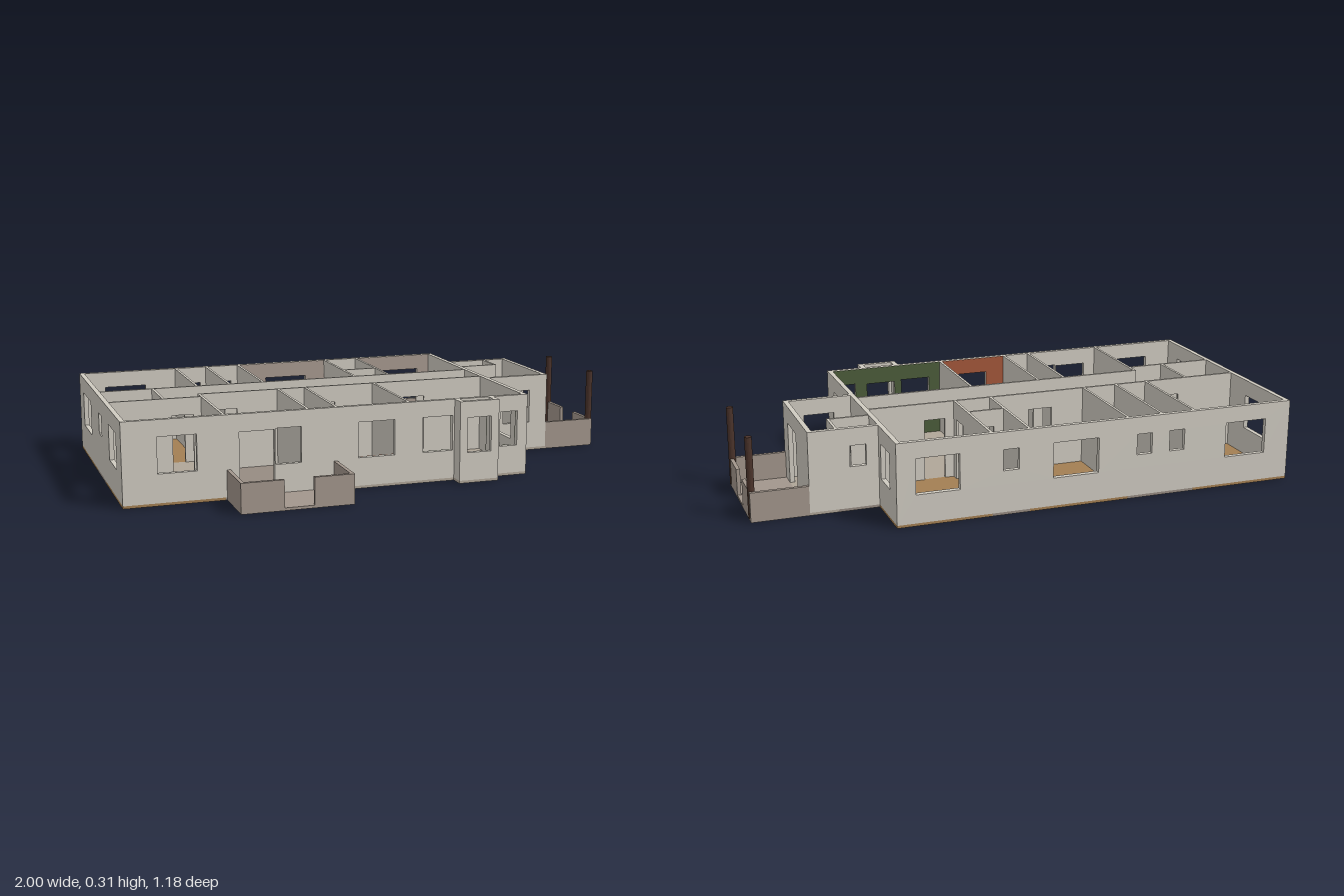
import * as THREE from 'three';

const H = 0.308, BASE = 0.01, DOOR = 0.243, SILL = 0.115, HEAD = 0.247;
const EXT = 0.018, INT = 0.01;

const paint = (color) => new THREE.MeshStandardMaterial({ color, flatShading: true });
const mats = {
  wall: paint(0xd0cbc1), wood: paint(0xa37f53), tile: paint(0x968b82), laminate: paint(0xb0a698),
  terrace: paint(0xa2968c), column: paint(0x4a332a), green: paint(0x4b5c3a), orange: paint(0xa3573a), taupe: paint(0xa89a90),
};

// Opening presets along a wall: [start, end, bottom, top]
const win = (a, b) => [a, b, SILL, HEAD];
const vent = (a, b) => [a, b, 0.165, DOOR];
const door = (a, b) => [a, b, BASE, DOOR];

export function createModel() {
  const model = new THREE.Group();
  const add = (name, geometry, mat) => {
    const mesh = new THREE.Mesh(geometry, mats[mat]);
    mesh.name = name;
    model.add(mesh);
    return mesh;
  };

  // Upright slab with door notches and window holes; axis is its running direction
  function wall(name, axis, pos, from, to, t, openings = [], mat = 'wall', top = H) {
    const s = new THREE.Shape();
    s.moveTo(from, BASE);
    const inside = openings.filter(([a, b]) => a > from && b < to).sort((p, q) => p[0] - q[0]);
    for (const [a, b, y0, y1] of inside) {
      if (y0 > BASE) {
        const hole = new THREE.Path();
        hole.moveTo(a, y0).lineTo(a, y1).lineTo(b, y1).lineTo(b, y0).closePath();
        s.holes.push(hole);
      } else {
        s.lineTo(a, y0).lineTo(a, y1).lineTo(b, y1).lineTo(b, y0);
      }
    }
    s.lineTo(to, BASE).lineTo(to, top).lineTo(from, top).closePath();
    const g = new THREE.ExtrudeGeometry(s, { depth: t, bevelEnabled: false });
    if (axis === 'x') g.translate(0, 0, pos - t / 2);
    else g.rotateY(-Math.PI / 2).translate(pos + t / 2, 0, 0);
    return add(name, g, mat);
  }

  const floor = (name, x0, x1, z0, z1, mat) => {
    const g = new THREE.BoxGeometry(x1 - x0, BASE, z1 - z0);
    add(name, g.translate((x0 + x1) / 2, BASE / 2, (z0 + z1) / 2), mat);
  };

  // Room floors, running under the walls
  const floors = [
    ['bedroomFloor', -1, -0.607, -0.595, -0.175, 'wood'],
    ['bathroomFloor', -0.607, -0.478, -0.595, -0.175, 'tile'],
    ['bathroomFloor', -0.478, -0.343, -0.595, -0.175, 'tile'],
    ['bedroomFloor', -0.343, 0.038, -0.595, -0.175, 'wood'],
    ['bathroomFloor', 0.038, 0.18, -0.595, -0.327, 'tile'],
    ['dressingFloor', 0.038, 0.18, -0.327, -0.175, 'wood'],
    ['bedroomFloor', 0.18, 0.53, -0.595, -0.175, 'wood'],
    ['utilityFloor', -1, -0.78, -0.175, 0.035, 'tile'],
    ['hallFloor', -0.78, 0.53, -0.175, -0.015, 'laminate'],
    ['hallNookFloor', -0.78, -0.635, -0.015, 0.035, 'laminate'],
    ['studyFloor', -1, -0.635, 0.035, 0.39, 'wood'],
    ['kitchenFloor', -0.635, -0.328, -0.015, 0.39, 'tile'],
    ['pantryFloor', -0.328, -0.22, -0.015, 0.39, 'laminate'],
    ['diningFloor', -0.22, 0.058, -0.015, 0.39, 'laminate'],
    ['livingFloor', 0.058, 0.53, -0.015, 0.39, 'laminate'],
    ['bayFloor', 0.235, 0.39, 0.39, 0.445, 'laminate'],
    ['entryFloor', 0.53, 0.785, -0.242, 0.037, 'laminate'],
    ['entrySideFloor', 0.68, 0.785, -0.373, -0.242, 'laminate'],
    ['cloakroomFloor', 0.53, 0.68, -0.373, -0.242, 'tile'],
    ['porchFloor', 0.785, 0.995, -0.373, 0.037, 'terrace'],
    ['terraceFloor', -0.63, -0.22, 0.39, 0.588, 'terrace'],
  ];
  for (const f of floors) floor(...f);

  // Outer walls of the main block
  const backOpenings = [win(-0.9, -0.735), vent(-0.565, -0.505), vent(-0.435, -0.375),
    win(-0.225, -0.05), vent(0.08, 0.14), win(0.3, 0.46)];
  const frontOpenings = [win(-0.875, -0.735), door(-0.583, -0.455), win(-0.45, -0.355), win(-0.14, 0),
    win(0.11, 0.228), door(0.256, 0.372), win(0.42, 0.49)];
  wall('backWall', 'x', -0.595 + EXT / 2, -1, 0.53, EXT, backOpenings);
  wall('frontWall', 'x', 0.39 - EXT / 2, -1, 0.53, EXT, frontOpenings);
  wall('rightWall', 'z', -1 + EXT / 2, -0.577, 0.372, EXT, [win(-0.49, -0.3), vent(-0.1, -0.04), win(0.13, 0.285)]);
  wall('leftWall', 'z', 0.53 - EXT / 2, -0.577, 0.372, EXT, [win(-0.51, -0.4), door(-0.165, -0.035), win(0.13, 0.285)]);

  // Painted linings on the inner faces of the outer walls
  const lining = 0.003;
  wall('livingLining', 'x', 0.371, 0.064, 0.511, lining, frontOpenings, 'green', H - 0.001);
  wall('diningLining', 'x', 0.371, -0.214, 0.052, lining, frontOpenings, 'orange', H - 0.001);
  wall('bedroomLining', 'x', -0.576, -0.337, 0.032, lining, backOpenings, 'taupe', H - 0.001);
  wall('bedroomLining', 'x', -0.576, 0.186, 0.511, lining, backOpenings, 'taupe', H - 0.001);

  // Bay projecting from the living room
  wall('bayFront', 'x', 0.445 - EXT / 2, 0.235, 0.39, EXT, [win(0.265, 0.36)]);
  for (const x of [0.235 + EXT / 2, 0.39 - EXT / 2]) wall('baySide', 'z', x, 0.39, 0.427, EXT);

  // Entry wing
  wall('entryFront', 'x', 0.037 - EXT / 2, 0.53, 0.785, EXT, [win(0.595, 0.71)]);
  wall('entryBack', 'x', -0.373 + EXT / 2, 0.53, 0.785, EXT, [vent(0.575, 0.635)]);
  wall('entryPorchWall', 'z', 0.785 - EXT / 2, -0.355, 0.019, EXT, [door(-0.175, -0.04)]);
  wall('cloakroomWall', 'x', -0.242, 0.53, 0.685, INT, [door(0.6, 0.66)]);
  wall('cloakroomWall', 'z', 0.68, -0.355, -0.247, INT);

  // Partitions running left to right
  wall('hallBackPartition', 'x', -0.175, -0.982, 0.512, INT, [door(-0.75, -0.66), door(-0.57, -0.5),
    door(-0.44, -0.37), door(-0.21, -0.115), door(0.07, 0.15), door(0.22, 0.3)]);
  wall('hallFrontPartition', 'x', -0.015, -0.635, 0.512, INT, [door(-0.585, -0.49), door(-0.31, -0.24),
    door(-0.2, -0.1), door(0.12, 0.27)]);
  wall('studyPartition', 'x', 0.035, -0.982, -0.635, INT, [door(-0.75, -0.67)]);
  wall('dressingPartition', 'x', -0.327, 0.038, 0.18, INT, [door(0.08, 0.14)]);

  // Partitions running front to back
  for (const x of [-0.607, -0.478, -0.343, 0.038]) wall('bedroomPartition', 'z', x, -0.577, -0.18, INT);
  wall('bedroomPartition', 'z', 0.18, -0.577, -0.18, INT, [door(-0.29, -0.21)]);
  wall('utilityPartition', 'z', -0.78, -0.17, 0.03, INT, [door(-0.12, -0.03)]);
  for (const x of [-0.635, -0.328, -0.22, 0.058]) wall('livingPartition', 'z', x, -0.02, 0.372, INT);

  // Low parapets with a gap for the steps
  const low = 0.11, p = 0.014;
  const gapWall = (name, axis, pos, a, b, c, d) => {
    wall(name, axis, pos, a, b, p, [], 'terrace', low);
    wall(name, axis, pos, c, d, p, [], 'terrace', low);
  };
  gapWall('terraceFrontParapet', 'x', 0.588 - p / 2, -0.63, -0.475, -0.367, -0.22);
  for (const x of [-0.63 + p / 2, -0.22 - p / 2]) wall('terraceSideParapet', 'z', x, 0.39, 0.574, p, [], 'terrace', low);
  gapWall('porchFrontParapet', 'z', 0.995 - p / 2, -0.373, -0.218, -0.11, 0.037);
  for (const z of [-0.373 + p / 2, 0.037 - p / 2]) wall('porchSideParapet', 'x', z, 0.785, 0.981, p, [], 'terrace', low);

  // Porch columns
  for (const z of [-0.348, 0.021]) {
    const g = new THREE.CylinderGeometry(0.013, 0.013, H - BASE, 16);
    add('porchColumn', g.translate(0.986, (H + BASE) / 2, z), 'column');
  }
  return model;
}
